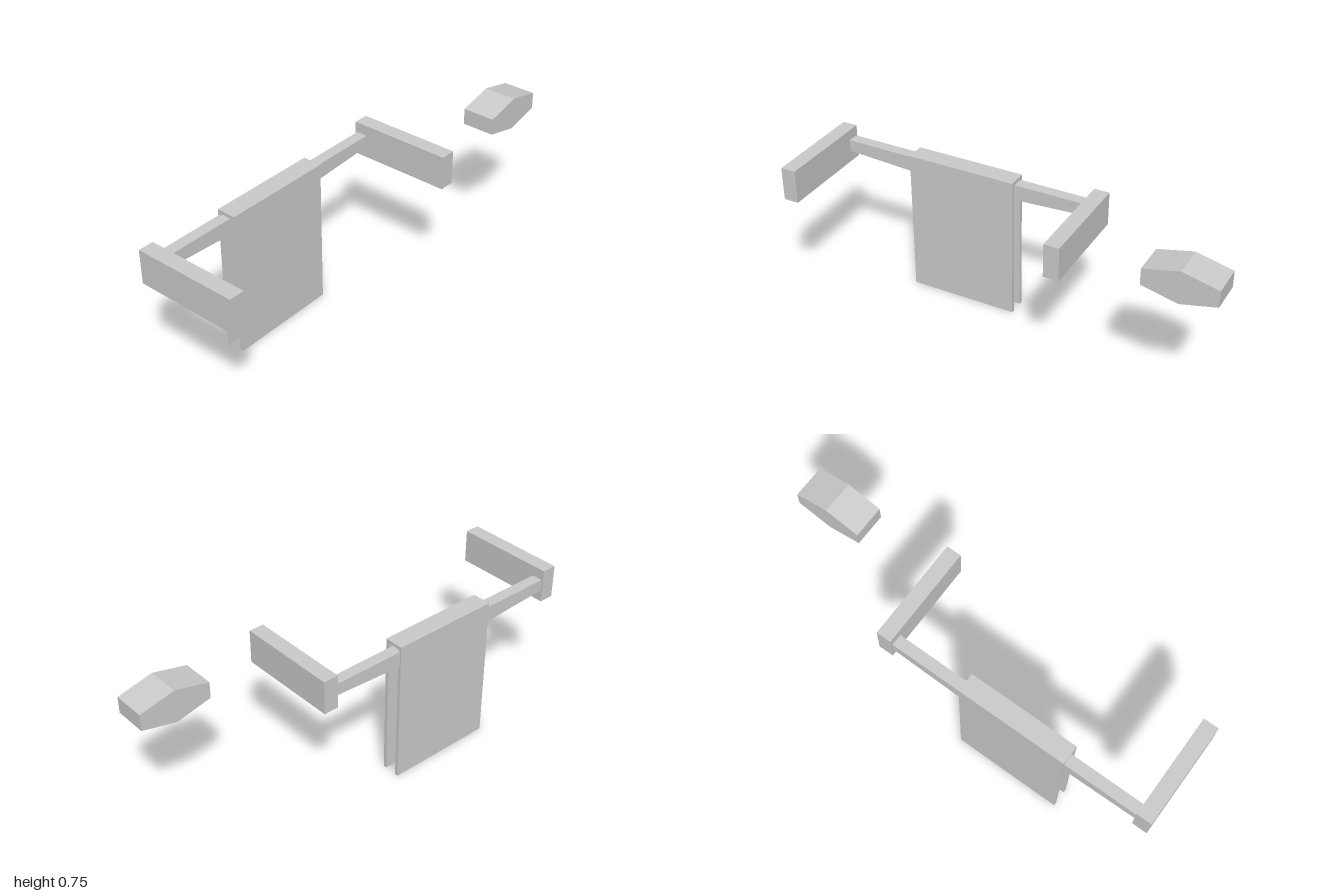
import * as THREE from 'three';

const material = new THREE.MeshStandardMaterial({ color: 0xcccccc, flatShading: true });

// Extrudes an outline given in one plane from depth 0 to the given depth
function extrude(points, depth) {
  const shape = new THREE.Shape(points.map(([a, b]) => new THREE.Vector2(a, b)));
  return new THREE.ExtrudeGeometry(shape, { depth, bevelEnabled: false });
}

export function createModel() {
  const model = new THREE.Group();
  model.name = 'towelRack';
  const add = (name, geometry, x, y, z) => {
    const mesh = new THREE.Mesh(geometry, material);
    mesh.name = name;
    mesh.position.set(x, y, z);
    model.add(mesh);
    return mesh;
  };
  const middle = -0.33; // centre of the rack in x

  // Wall arms at both ends
  for (const [name, side] of [['rightArm', -1], ['leftArm', 1]]) {
    add(name, new THREE.BoxGeometry(0.07, 0.157, 0.48), middle + side * 0.636, 0.631, 0);
  }

  // Rail, flat on top and deeper towards the middle
  const rail = [[-0.605, 0.606], [0, 0.572], [0.605, 0.606], [0.605, 0.661], [-0.605, 0.661]];
  add('rail', extrude(rail, 0.053), middle, 0, -0.231);

  // Towel folded over the rail: an upside-down U swept along x
  const towel = [
    [-0.237, 0], [-0.221, 0], [-0.221, 0.669], [-0.163, 0.669],
    [-0.163, 0], [-0.147, 0], [-0.147, 0.685], [-0.237, 0.685],
  ].map(([z, y]) => [-z, y]);
  add('towel', extrude(towel, 0.516), middle - 0.258, 0, 0).rotation.y = Math.PI / 2;

  // Six-sided soap bar beside the rack
  const soap = [
    [-0.162, -0.038], [0, -0.076], [0.162, -0.038],
    [0.162, 0.038], [0, 0.076], [-0.162, 0.038],
  ];
  add('soap', extrude(soap, 0.153), 0.838, 0.669, 0.058);

  return model;
}
